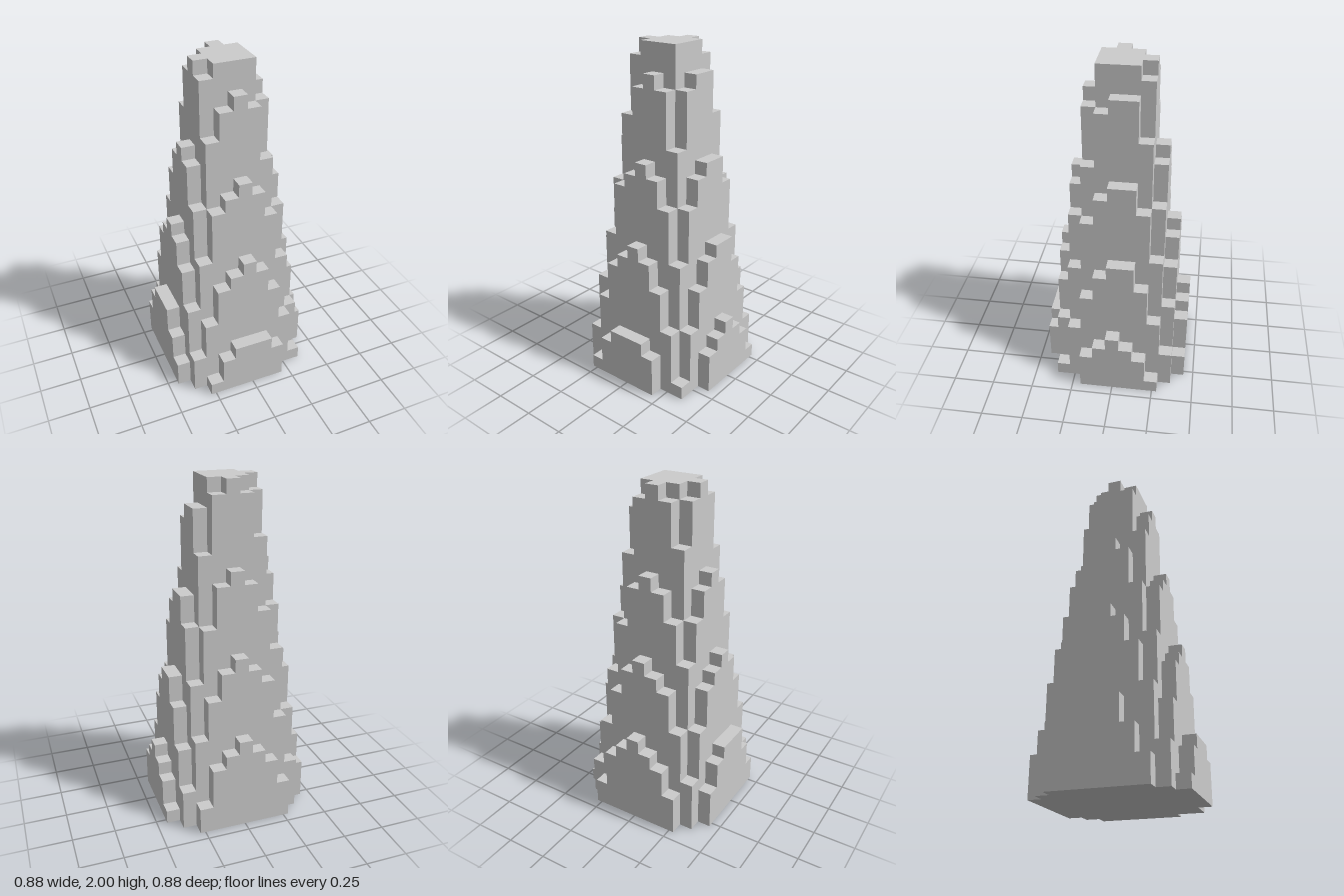
import * as THREE from 'three';

const CELL = 0.08;   // edge of one block
const REACH = 5;     // blocks from the middle to the rim
const LAYERS = 25;   // blocks from ground to top

// Height in blocks of the column at grid cell (i, k): a slightly off-centre cone, cut flat on top
function columnHeight(i, k) {
  if (Math.abs(i) > REACH || Math.abs(k) > REACH) return 0;
  const dx = Math.max(Math.abs(i + 0.155) - 0.45, 0);
  const dz = Math.max(Math.abs(k + 0.17) - 0.45, 0);
  const h = Math.floor(33.668 - 6.08 * Math.hypot(dx, dz));
  return Math.min(Math.max(h, 0), LAYERS);
}

function geometryFromQuads(quads) {
  const positions = [];
  for (const [a, b, c, d] of quads) {
    for (const p of [a, b, c, a, c, d]) positions.push(...p.map((v) => v * CELL));
  }
  const geometry = new THREE.BufferGeometry();
  geometry.setAttribute('position', new THREE.Float32BufferAttribute(positions, 3));
  geometry.computeVertexNormals();
  return geometry;
}

export function createModel() {
  const caps = [], walls = [], base = [];

  for (let i = -REACH; i <= REACH; i++) {
    for (let k = -REACH; k <= REACH; k++) {
      const h = columnHeight(i, k);
      if (h === 0) continue;

      // Step top and underside of the column
      const square = (y) => [
        [i - 0.5, y, k + 0.5], [i + 0.5, y, k + 0.5],
        [i + 0.5, y, k - 0.5], [i - 0.5, y, k - 0.5],
      ];
      caps.push(square(h));
      base.push(square(0).reverse());

      // Sides that rise above the neighbouring column
      for (const [nx, nz] of [[1, 0], [-1, 0], [0, 1], [0, -1]]) {
        const low = columnHeight(i + nx, k + nz);
        if (low >= h) continue;
        const corner = (side, y) => [i + (nx + side * nz) / 2, y, k + (nz - side * nx) / 2];
        walls.push([corner(-1, low), corner(1, low), corner(1, h), corner(-1, h)]);
      }
    }
  }

  const material = new THREE.MeshStandardMaterial({ color: 0xcccccc, flatShading: true });
  const group = new THREE.Group();
  group.name = 'steppedSpire';
  for (const [name, quads] of Object.entries({ stepTops: caps, stepWalls: walls, base })) {
    const mesh = new THREE.Mesh(geometryFromQuads(quads), material);
    mesh.name = name;
    group.add(mesh);
  }
  return group;
}
